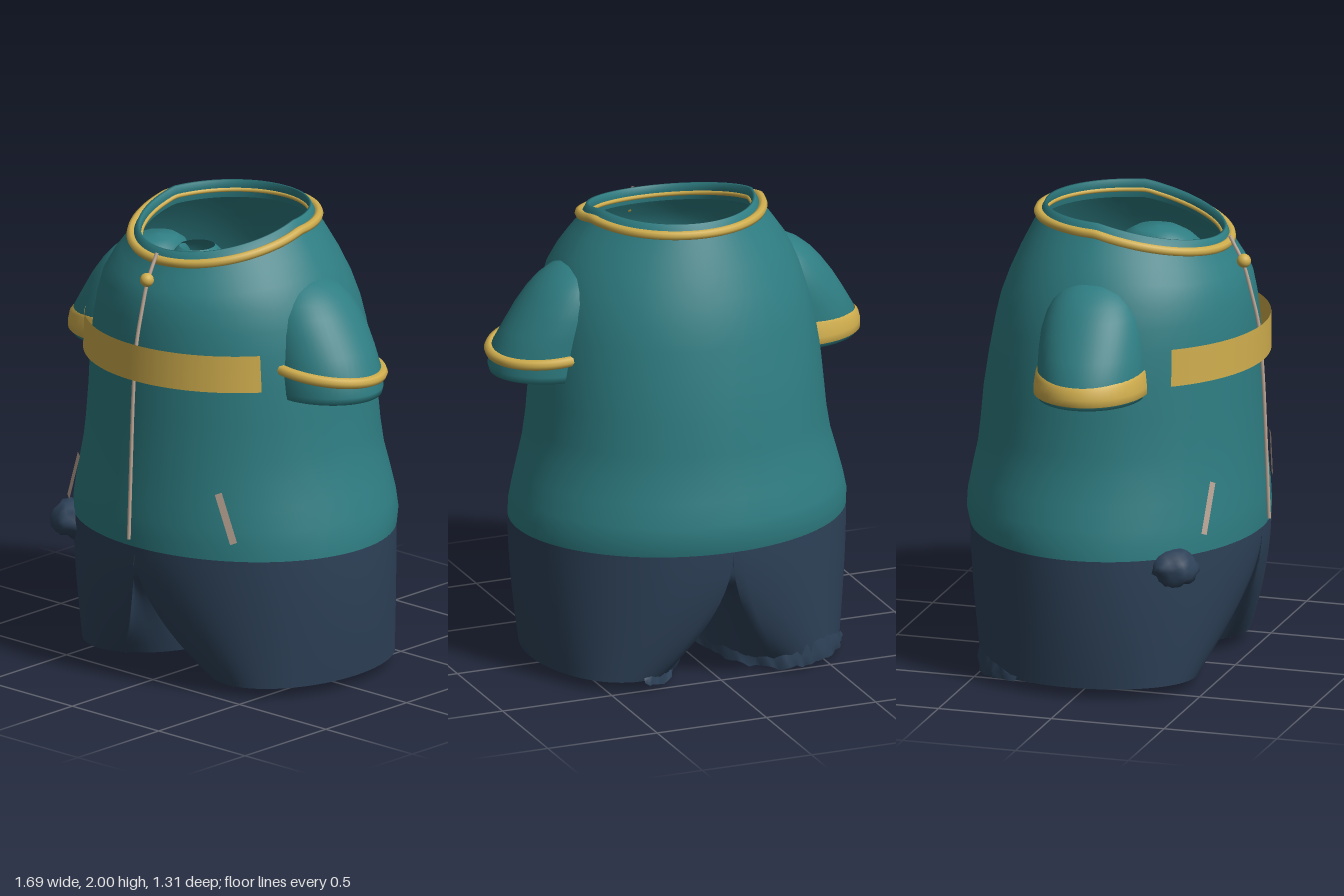
import * as THREE from 'three';
import { mergeGeometries, mergeVertices } from 'three/addons/utils/BufferGeometryUtils.js';

const mat = (name, color) => new THREE.MeshStandardMaterial({ name, color, side: THREE.DoubleSide });

// Grid surface: f(i, j) gives a point [x, y, z]; j runs upward
function grid(f, nu, nv) {
  const pos = [], idx = [];
  for (let j = 0; j <= nv; j++) for (let i = 0; i <= nu; i++) pos.push(...f(i, j));
  for (let j = 0; j < nv; j++) for (let i = 0; i < nu; i++) {
    const a = j * (nu + 1) + i, b = a + 1, c = a + nu + 1, d = c + 1;
    idx.push(a, c, b, b, c, d);
  }
  const g = new THREE.BufferGeometry();
  g.setAttribute('position', new THREE.Float32BufferAttribute(pos, 3));
  g.setIndex(idx);
  return weld(g);
}
function weld(g) {
  const m = mergeVertices(g, 1e-4);
  m.computeVertexNormals();
  return m;
}
const noise = (a, b = 0) => { const s = Math.sin(a * 12.99 + b * 78.23) * 43758.5; return s - Math.floor(s); };
const clamp = THREE.MathUtils.clamp;
const TAU = Math.PI * 2;

export function createModel() {
  const root = new THREE.Group();
  const teal = mat('jacketTeal', 0x2e7d82);
  const navy = mat('trouserNavy', 0x2e4259);
  const gold = mat('trimGold', 0xd0ae4e);
  const zip = mat('zipperBeige', 0xbca696);
  const add = (name, geo, m) => {
    const mesh = new THREE.Mesh(geo, m);
    mesh.name = name;
    root.add(mesh);
    return mesh;
  };
  const tube = (pts, r, closed, n = 80) =>
    new THREE.TubeGeometry(new THREE.CatmullRomCurve3(pts.map(p => new THREE.Vector3(...p)), closed), n, r, 8, closed);

  // Jacket rows: y, half width, front z, back z; the last rows fold into the collar
  const rows = [
    [0.62, 0.73, 0.62, 0.635], [0.68, 0.728, 0.622, 0.65], [0.75, 0.713, 0.62, 0.647], [0.85, 0.687, 0.612, 0.628],
    [0.95, 0.66, 0.605, 0.607], [1.05, 0.644, 0.6, 0.596], [1.2, 0.63, 0.592, 0.583], [1.35, 0.618, 0.588, 0.56],
    [1.5, 0.595, 0.58, 0.533], [1.6, 0.572, 0.57, 0.51], [1.7, 0.54, 0.553, 0.474], [1.8, 0.49, 0.527, 0.43],
    [1.88, 0.435, 0.5, 0.39], [1.94, 0.39, 0.475, 0.36], [1.98, 0.362, 0.455, 0.338], [2.0, 0.352, 0.445, 0.328],
    [1.998, 0.34, 0.435, 0.32], [1.97, 0.335, 0.43, 0.325], [1.92, 0.345, 0.435, 0.335],
  ];
  // The neckline slopes down toward the front
  const drop = (y, z) => 0.1 * clamp((y - 1.68) / 0.26, 0, 1) * Math.max(0, z) / 0.45;
  const ringPoint = (y, rx, zf, zb, a) => {
    const z = (zf - zb) / 2 + (zf + zb) / 2 * Math.sin(a);
    return [rx * Math.cos(a), y - drop(y, z), z];
  };
  add('jacketBody', grid((i, j) => ringPoint(...rows[j], i / 80 * TAU), 80, rows.length - 1), teal);

  // Collar piping, outside and inside
  const neckRing = (y, rx, zf, zb) => Array.from({ length: 48 }, (_, i) => ringPoint(y, rx, zf, zb, i / 48 * TAU));
  add('collarPiping', tube(neckRing(1.96, 0.384, 0.465, 0.355), 0.02, true, 120), gold);
  add('collarInnerPiping', tube(neckRing(1.955, 0.338, 0.432, 0.33), 0.01, true, 120), gold);

  // Trousers: each leg runs from an open hem up to the waist and a saddle-shaped crotch
  const HEM = 0.045, split = 110;
  const saddle = new THREE.CatmullRomCurve3(
    [[0.62, 0.62], [0.47, 0.585], [0.38, 0.36], [0.28, 0]].map(([y, z]) => new THREE.Vector3(0, y, z)));
  const hemPoint = (a, s = 1) => [0.365 + 0.315 * s * Math.cos(a), -0.03 + 0.47 * s * Math.sin(a)];
  const legPoint = (sx, deg, t) => {
    const [bx, bz] = hemPoint(deg * Math.PI / 180);
    const B = new THREE.Vector3(bx, HEM, bz), T = new THREE.Vector3();
    const d = Math.abs(deg);
    if (d <= split) {
      const p = ringPoint(0.62, 0.73, 0.62, 0.635, deg / split * Math.PI / 2);
      T.set(...p);
    } else {
      saddle.getPoint((d - split) / (180 - split), T);
      if (deg < 0) T.z *= -1.02;
    }
    const w = clamp((0.62 - T.y) / 0.16, 0, 1);
    const C = new THREE.Vector3(T.x, 0.36, T.z * 0.96 + B.z * 0.04)
      .lerp(new THREE.Vector3(B.x * 0.65, T.y - 0.03, T.z * 0.8 + B.z * 0.2), w);
    const p = B.multiplyScalar((1 - t) ** 2).addScaledVector(C, 2 * t * (1 - t)).addScaledVector(T, t * t);
    return [sx * p.x, p.y, p.z];
  };
  const legs = [1, -1].map(sx => grid((i, j) => legPoint(sx, sx * (i * 5 - 180), j / 16), 72, 16));
  add('trousers', weld(mergeGeometries(legs)), navy);

  for (const sx of [1, -1]) {
    const side = sx > 0 ? 'left' : 'right';
    // Thick inner hem of the trouser leg
    add(side + 'LegHem', grid((i, j) => {
      const [x, z] = hemPoint(sx * i / 48 * TAU, [0.94, 0.95, 1][j]);
      return [sx * x, [0.12, 0.05, HEM][j], z];
    }, 48, 2), navy);

    // Sleeve rows: y, centre x, half x, centre z, half z
    const sleeve = [
      [1.38, 0.56, 0.235, 0.04, 0.2], [1.315, 0.56, 0.245, 0.04, 0.21], [1.31, 0.56, 0.262, 0.04, 0.225],
      [1.34, 0.56, 0.27, 0.04, 0.23], [1.42, 0.55, 0.262, 0.04, 0.23], [1.5, 0.53, 0.235, 0.032, 0.225],
      [1.58, 0.505, 0.21, 0.027, 0.218], [1.65, 0.48, 0.183, 0.024, 0.2], [1.7, 0.46, 0.158, 0.022, 0.175],
      [1.74, 0.44, 0.128, 0.02, 0.14], [1.77, 0.425, 0.085, 0.02, 0.09], [1.78, 0.42, 0.001, 0.02, 0.001],
    ];
    add(side + 'Sleeve', grid((i, j) => {
      const [y, cx, rx, cz, rz] = sleeve[j], a = sx * i / 48 * TAU;
      return [sx * (cx + rx * Math.cos(a)), y, cz + rz * Math.sin(a)];
    }, 48, sleeve.length - 1), teal);

    // Crumpled sleeve end inside the body, open at the top
    const end = new THREE.SphereGeometry(1, 32, 20, 0, TAU, 0.55, Math.PI - 0.55);
    end.scale(0.14, 0.18, 0.15);
    add(side + 'SleeveInnerEnd', end, teal).position.set(sx * 0.24, 1.6, -0.03);
    const fold = new THREE.SphereGeometry(1, 16, 10);
    fold.scale(0.07, 0.09, 0.08);
    add(side + 'SleeveInnerFold', fold, teal).position.set(sx * 0.22, 1.55, 0.12);

    // Pocket zip, a thin slanted strip
    add(side + 'PocketZip', grid((i, j) => [
      sx * ((j ? 0.39 : 0.465) + i * 0.026), (j ? 0.915 : 0.705) + i * 0.012, (j ? 0.535 : 0.52) - i * 0.015,
    ], 1, 1), zip);
  }

  // Cuffs: slim piping on one sleeve, a wide band on the other
  const cuff = Array.from({ length: 40 }, (_, i) => {
    const a = i / 40 * TAU, x = 0.55 + 0.27 * Math.cos(a), z = 0.04 + 0.232 * Math.sin(a);
    return [x, 1.408 - 0.1 * (x - 0.7) + 0.06 * (z - 0.04), z];
  });
  add('leftCuffPiping', tube(cuff, 0.024, true), gold);
  add('rightCuffBand', grid((i, j) => {
    const a = -i / 48 * TAU, r = [0, 0.012, 0.012, 0.004, -0.01][j];
    const x = 0.56 + (0.27 + r) * Math.cos(a);
    return [-x, [1.325, 1.33, 1.36, 1.42, 1.435][j] - (j > 2 ? 0.12 * (x - 0.6) : 0), 0.04 + (0.23 + r) * Math.sin(a)];
  }, 48, 4), gold);

  // Chest band
  add('chestBand', grid((i, j) => {
    const a = (37 + i / 40 * 106) * Math.PI / 180;
    return [(0.645 - j * 0.012) * Math.cos(a), 1.36 + j * 0.16, 0.628 * Math.sin(a)];
  }, 40, 1), gold);

  // Front zipper with a round pull
  add('frontZipper', tube([[0, 0.66, 0.65], [0, 1.0, 0.636], [0, 1.3, 0.622], [0, 1.5, 0.605], [0, 1.66, 0.568],
    [0, 1.78, 0.532], [0, 1.89, 0.475]], 0.008, false), zip);
  add('zipperPull', new THREE.SphereGeometry(0.03, 20, 14), gold).position.set(0, 1.785, 0.538);

  // Crumpled cloth at the hip
  const lump = mergeVertices(new THREE.IcosahedronGeometry(1, 3).deleteAttribute('normal').deleteAttribute('uv'), 1e-4);
  const lp = lump.attributes.position;
  for (let i = 0; i < lp.count; i++) {
    const s = 0.88 + 0.24 * noise(i);
    lp.setXYZ(i, lp.getX(i) * s * 0.1, lp.getY(i) * s * 0.085, lp.getZ(i) * s * 0.1);
  }
  lump.computeVertexNormals();
  add('hipCrumple', lump, navy).position.set(-0.545, 0.575, 0.4);

  // Ragged cloth hanging from the back of the hems
  const rag = (sx, from, to, n, top) => grid((i, j) => {
    const u = i / n, a = (from + (to - from) * u) * Math.PI / 180;
    const [x, z] = hemPoint(a, 1.0 + (j < 2 ? 0.05 * noise(i, j) : 0.01));
    const fade = Math.sin(u * Math.PI);
    const y = [0.04 - 0.04 * fade * (0.4 + 0.6 * noise(i, 3)), 0.06, 0.06 + top * fade * (0.6 + 0.4 * noise(i, 5))][j];
    return [sx * x, y, z];
  }, n, 2);
  add('rightLegRag', rag(-1, -175, -30, 34, 0.1), navy);
  add('leftLegRag', rag(1, -122, -92, 8, 0.01), navy);

  return root;
}
